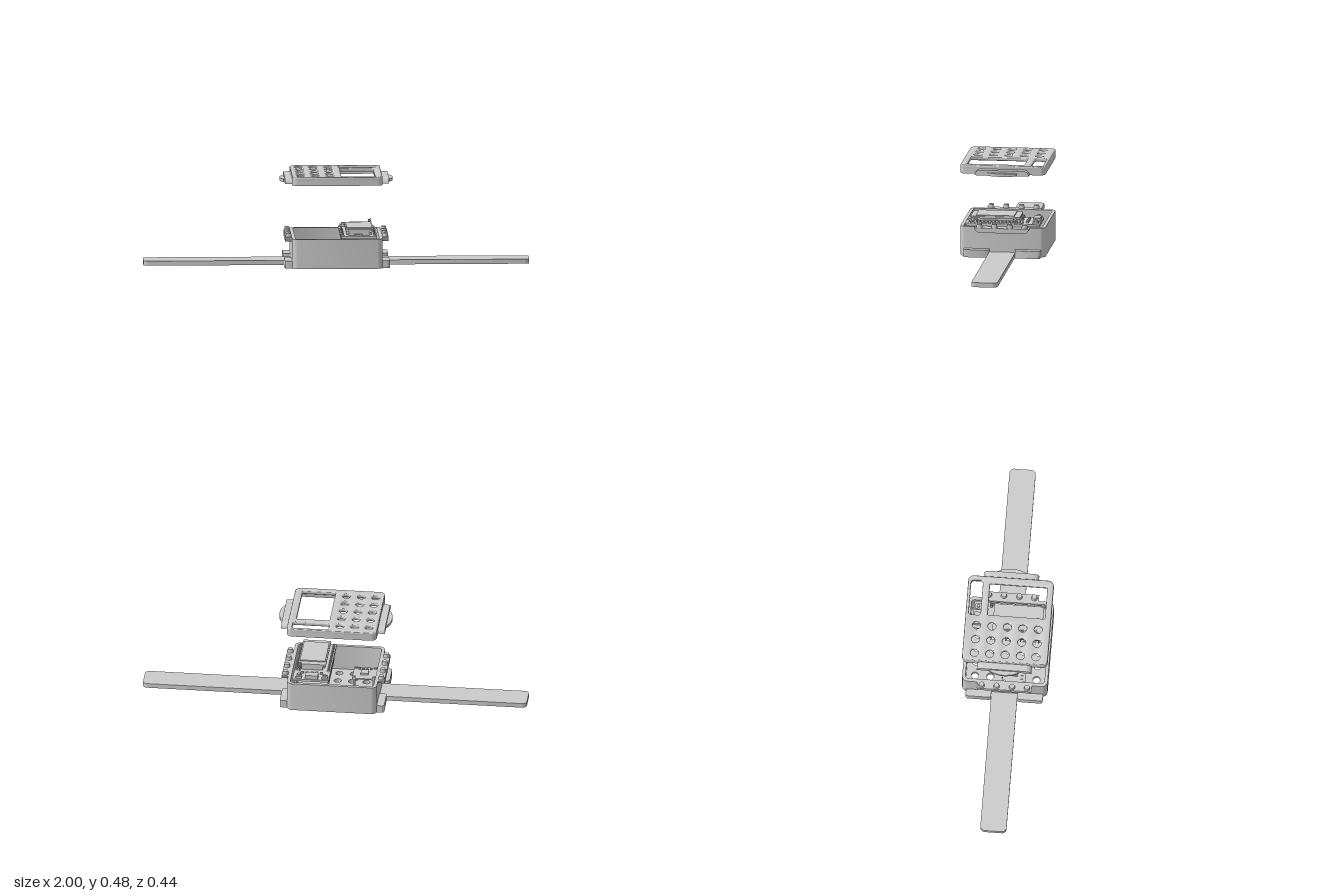
import * as THREE from 'three';
import { toCreasedNormals } from 'three/addons/utils/BufferGeometryUtils.js';

const mat = new THREE.MeshStandardMaterial({ color: 0xcccccc, side: THREE.DoubleSide });

function add(parent, name, geo, x = 0, y = 0, z = 0) {
  const m = new THREE.Mesh(geo, mat);
  m.name = name;
  m.position.set(x, y, z);
  parent.add(m);
  return m;
}
// box given by its bounds
function block(parent, name, x0, x1, y0, y1, z0, z1) {
  return add(parent, name, new THREE.BoxGeometry(x1 - x0, y1 - y0, z1 - z0),
    (x0 + x1) / 2, (y0 + y1) / 2, (z0 + z1) / 2);
}
// rounded rectangle in plan; shape y is -z
function roundRect(x0, x1, z0, z1, r, Type = THREE.Shape) {
  const s = new Type(), a = -z1, b = -z0, q = Math.PI / 2;
  s.absarc(x1 - r, a + r, r, -q, 0);
  s.absarc(x1 - r, b - r, r, 0, q);
  s.absarc(x0 + r, b - r, r, q, 2 * q);
  s.absarc(x0 + r, a + r, r, 2 * q, 3 * q);
  s.closePath();
  return s;
}
function roundHole(x, z, r) {
  return new THREE.Path().absarc(x, -z, r, 0, Math.PI * 2);
}
// flat plate from a plan shape, between two heights
function plate(parent, name, shape, y0, y1, bevel = 0) {
  const g = new THREE.ExtrudeGeometry(shape, {
    depth: y1 - y0 - 2 * bevel, curveSegments: 10, bevelEnabled: bevel > 0,
    bevelSize: bevel, bevelThickness: bevel, bevelOffset: -bevel, bevelSegments: 3,
  });
  g.translate(0, 0, bevel);
  g.rotateX(-Math.PI / 2);
  return add(parent, name, toCreasedNormals(g, 0.6), 0, y0, 0);
}
// shouldered flange on the +x side: dir 1 curves in upward, -1 downward
function flange(parent, name, x0, x1, y, h, dir) {
  const s = new THREE.Shape();
  s.moveTo(-0.142, 0);
  s.quadraticCurveTo(-0.138, h * dir, -0.11, h * dir);
  s.lineTo(0.11, h * dir);
  s.quadraticCurveTo(0.138, h * dir, 0.142, 0);
  s.closePath();
  const g = new THREE.ExtrudeGeometry(s, { depth: x1 - x0, bevelEnabled: false, curveSegments: 10 });
  g.rotateY(Math.PI / 2);
  add(parent, name, toCreasedNormals(g, 0.6), x0, y, 0);
}
// both sides of the case: a builder for +x, turned about for -x
function bothSides(parent, name, build) {
  for (const turn of [0, Math.PI]) {
    const g = new THREE.Group();
    g.name = name;
    g.rotation.y = turn;
    build(g);
    parent.add(g);
  }
}

const rows = [-0.16, -0.08, 0, 0.08, 0.16];

function buildCase(root) {
  const box = new THREE.Group();
  box.name = 'case';
  root.add(box);
  // perforated floor
  const floor = roundRect(-0.234, 0.234, -0.222, 0.222, 0.03);
  for (const x of [-0.15, -0.075, 0, 0.075, 0.15])
    for (const z of rows) floor.holes.push(roundHole(x, z, 0.019));
  plate(box, 'caseFloor', floor, 0, 0.02);
  // walls
  const wall = roundRect(-0.234, 0.234, -0.222, 0.222, 0.03);
  wall.holes.push(roundRect(-0.217, 0.217, -0.205, 0.205, 0.016, THREE.Path));
  plate(box, 'caseWalls', wall, 0.01, 0.155);
  bothSides(box, 'caseSide', (g) => {
    flange(g, 'upperFlange', 0.232, 0.268, 0.155, 0.025, -1);
    for (const z of [-0.118, -0.04, 0.04, 0.118])
      add(g, 'peg', new THREE.CylinderGeometry(0.013, 0.016, 0.02, 20), 0.25, 0.164, z);
    // strap guides
    for (const s of [-1, 1]) {
      const z0 = s > 0 ? 0.068 : -0.2, z1 = s > 0 ? 0.2 : -0.068;
      plate(g, 'strapGuide', roundRect(0.21, 0.272, z0, z1, 0.012), 0, 0.04);
    }
  });
  // strap halves, rounded at the outer ends
  bothSides(root, 'strap', (g) => {
    plate(g, 'strapBand', roundRect(0.2, 1, -0.068, 0.068, 0.025), 0, 0.024);
  });
}

function buildLid(root) {
  const lid = new THREE.Group();
  lid.name = 'lid';
  root.add(lid);
  const top = roundRect(-0.234, 0.234, -0.222, 0.222, 0.03);
  top.holes.push(roundRect(0.022, 0.195, -0.108, 0.19, 0.006, THREE.Path));
  top.holes.push(roundRect(0.018, 0.208, -0.206, -0.145, 0.014, THREE.Path));
  for (const x of [-0.19, -0.115, -0.038])
    for (const z of rows) top.holes.push(roundHole(x, z, 0.021));
  plate(lid, 'lidTop', top, 0.46, 0.48, 0.005);
  const skirt = roundRect(-0.234, 0.234, -0.222, 0.222, 0.03);
  skirt.holes.push(roundRect(-0.217, 0.217, -0.207, 0.207, 0.016, THREE.Path));
  plate(lid, 'lidSkirt', skirt, 0.435, 0.473);
  bothSides(lid, 'lidSide', (g) => {
    flange(g, 'lidFlange', 0.228, 0.27, 0.435, 0.027, 1);
    // curved finger tab
    const s = new THREE.Shape();
    s.moveTo(0.265, -0.077);
    s.lineTo(0.274, -0.077);
    s.quadraticCurveTo(0.292, -0.05, 0.294, 0);
    s.quadraticCurveTo(0.292, 0.05, 0.274, 0.077);
    s.lineTo(0.265, 0.077);
    s.closePath();
    plate(g, 'fingerTab', s, 0.435, 0.45);
  });
}

class Helix extends THREE.Curve {
  getPoint(t, out = new THREE.Vector3()) {
    const a = t * Math.PI * 14;
    return out.set(0.007 * Math.cos(a), 0.03 * t, 0.007 * Math.sin(a));
  }
}

function buildElectronics(root) {
  const board = new THREE.Group();
  board.name = 'displayBoard';
  root.add(board);
  block(board, 'circuitBoard', 0.018, 0.206, 0.155, 0.167, -0.19, 0.2);
  // display and its supports
  block(board, 'displayBase', 0.05, 0.18, 0.167, 0.178, -0.06, 0.145);
  block(board, 'displayRiser', 0.06, 0.17, 0.178, 0.19, -0.05, 0.14);
  block(board, 'displayPanel', 0.044, 0.188, 0.19, 0.2, -0.085, 0.173);
  block(board, 'displayGlass', 0.05, 0.182, 0.2, 0.206, -0.055, 0.145);
  for (const z of [-0.075, 0.163])
    block(board, 'displayPost', 0.06, 0.17, 0.167, 0.19, z - 0.008, z + 0.008);
  // header strips with pins above and below
  const pin = new THREE.BoxGeometry(0.006, 0.07, 0.006);
  const solder = new THREE.CylinderGeometry(0.002, 0.007, 0.013, 8);
  for (const x of [0.03, 0.195]) {
    block(board, 'headerStrip', x - 0.009, x + 0.009, 0.138, 0.155, -0.1, 0.185);
    for (let i = 0; i < 15; i++) {
      const z = -0.09 + i * 0.019;
      add(board, 'headerPin', pin, x, 0.12, z);
      add(board, 'solderPoint', solder, x, 0.173, z);
    }
  }
  // connectors and small parts at the back edge
  block(board, 'socket', 0.075, 0.14, 0.167, 0.188, -0.185, -0.148);
  for (const x of [0.04, 0.175]) {
    block(board, 'buttonBase', x - 0.015, x + 0.015, 0.167, 0.178, -0.182, -0.152);
    add(board, 'buttonCap', new THREE.CylinderGeometry(0.008, 0.008, 0.012, 16), x, 0.182, -0.167);
  }
  for (let i = 0; i < 5; i++)
    block(board, 'smallPart', 0.055 + i * 0.025, 0.07 + i * 0.025, 0.167, 0.175, -0.128, -0.115);
  block(board, 'frontPart', 0.09, 0.13, 0.167, 0.176, 0.178, 0.195);
  // coil antenna
  add(board, 'coilAntenna', new THREE.TubeGeometry(new Helix(), 140, 0.0017, 6), 0.178, 0.184, -0.1);
  add(board, 'antennaPost', new THREE.CylinderGeometry(0.003, 0.003, 0.02, 8), 0.178, 0.176, -0.1);

  // small sensor board on posts inside the case
  const sensor = new THREE.Group();
  sensor.name = 'sensorBoard';
  root.add(sensor);
  block(sensor, 'sensorPlate', -0.208, -0.085, 0.085, 0.092, -0.015, 0.105);
  block(sensor, 'sensorChip', -0.165, -0.125, 0.092, 0.102, 0.025, 0.065);
  for (const x of [-0.198, -0.095])
    for (const z of [-0.005, 0.095]) {
      add(sensor, 'post', new THREE.CylinderGeometry(0.006, 0.006, 0.07, 12), x, 0.052, z);
      add(sensor, 'screwHead', new THREE.CylinderGeometry(0.008, 0.008, 0.008, 12), x, 0.096, z);
    }
  for (let i = 0; i < 4; i++)
    block(sensor, 'sensorPart', -0.18 + i * 0.02, -0.168 + i * 0.02, 0.092, 0.098, 0.08, 0.092);
}

export function createModel() {
  const root = new THREE.Group();
  root.name = 'wristDevice';
  buildCase(root);
  buildLid(root);
  buildElectronics(root);
  return root;
}
